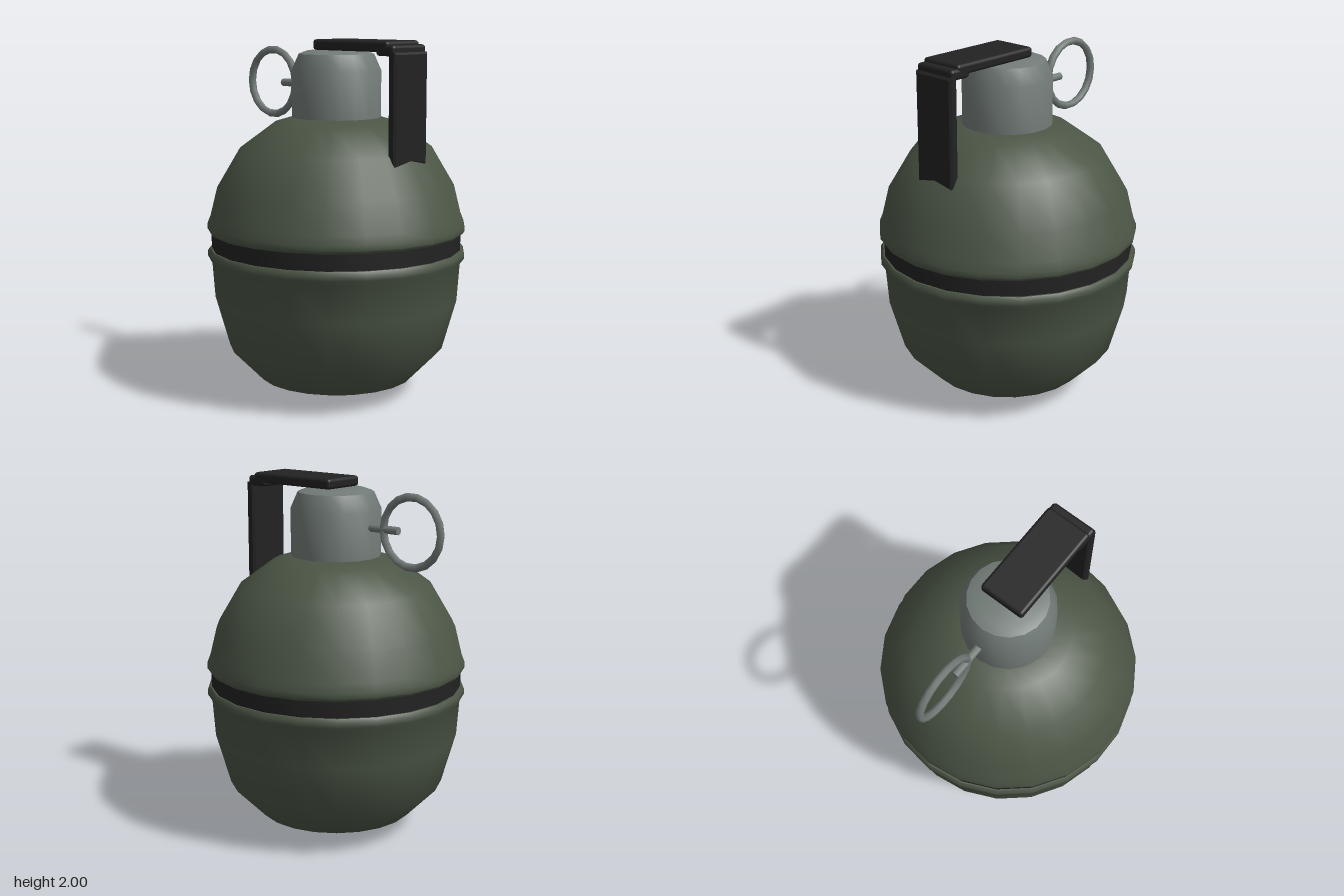
import * as THREE from 'three';
import { toCreasedNormals } from 'three/addons/utils/BufferGeometryUtils.js';
import { RoundedBoxGeometry } from 'three/addons/geometries/RoundedBoxGeometry.js';

const material = (name, color) => {
  const m = new THREE.MeshStandardMaterial({ color });
  m.name = name;
  return m;
};

export function createModel() {
  const green = material('olive green', 0x4b5545);
  const grey = material('steel grey', 0x727b77);
  const black = material('black', 0x222222);

  const model = new THREE.Group();
  model.name = 'model';

  const add = (name, geometry, mat, x = 0, y = 0, z = 0) => {
    const mesh = new THREE.Mesh(geometry, mat);
    mesh.name = name;
    mesh.position.set(x, y, z);
    model.add(mesh);
    return mesh;
  };

  // Turned part: profile from bottom to top, first corner on the x axis
  const turned = (name, profile, sides, mat) => {
    const points = profile.map(([r, y]) => new THREE.Vector2(r, y));
    const geometry = new THREE.LatheGeometry(points, sides, Math.PI / 2);
    return add(name, toCreasedNormals(geometry, 0.72), mat);
  };

  // Body halves with raised rims, and the dark band between them
  turned('lowerBody', [
    [0, 0], [0.17, 0], [0.44, 0.09], [0.61, 0.265], [0.69, 0.55], [0.705, 0.76],
    [0.728, 0.79], [0.728, 0.82], [0.715, 0.838], [0.69, 0.838],
  ], 22, green);
  turned('band', [[0.706, 0.83], [0.706, 0.935]], 22, black);
  turned('upperBody', [
    [0.69, 0.93], [0.715, 0.93], [0.728, 0.945], [0.728, 0.975], [0.71, 1.02],
    [0.67, 1.18], [0.54, 1.4], [0.35, 1.54], [0.25, 1.57], [0, 1.575],
  ], 22, green);

  // Neck with a bevelled top
  turned('neck', [
    [0.25, 1.55], [0.25, 1.83], [0.21, 1.92], [0.16, 1.938], [0, 1.938],
  ], 18, grey);

  // Lever: top plate, bend and hanging plate with a notched end
  add('leverTop', new RoundedBoxGeometry(0.56, 0.058, 0.26, 2, 0.018), black, 0.22, 1.971);
  add('leverBend', new RoundedBoxGeometry(0.13, 0.058, 0.26, 2, 0.018), black, 0.48, 1.951);

  const bevel = 0.012;
  const half = 0.13 - bevel;
  const outline = new THREE.Shape([
    [-half, 1.35], [0, 1.372], [half, 1.35], [half, 1.93], [-half, 1.93],
  ].map(([x, y]) => new THREE.Vector2(x, y)));
  const hanging = new THREE.ExtrudeGeometry(outline, {
    depth: 0.031, bevelEnabled: true, bevelThickness: bevel, bevelSize: bevel, bevelSegments: 1,
  });
  hanging.rotateY(Math.PI / 2);
  add('leverHandle', hanging, black, 0.517);

  // Pull pin and its ring
  const pin = new THREE.CylinderGeometry(0.022, 0.022, 0.22, 8);
  pin.rotateZ(Math.PI / 2);
  add('pin', pin, grey, -0.325, 1.743);
  add('ring', new THREE.TorusGeometry(0.188, 0.022, 6, 18), grey, -0.521, 1.743);

  return model;
}
